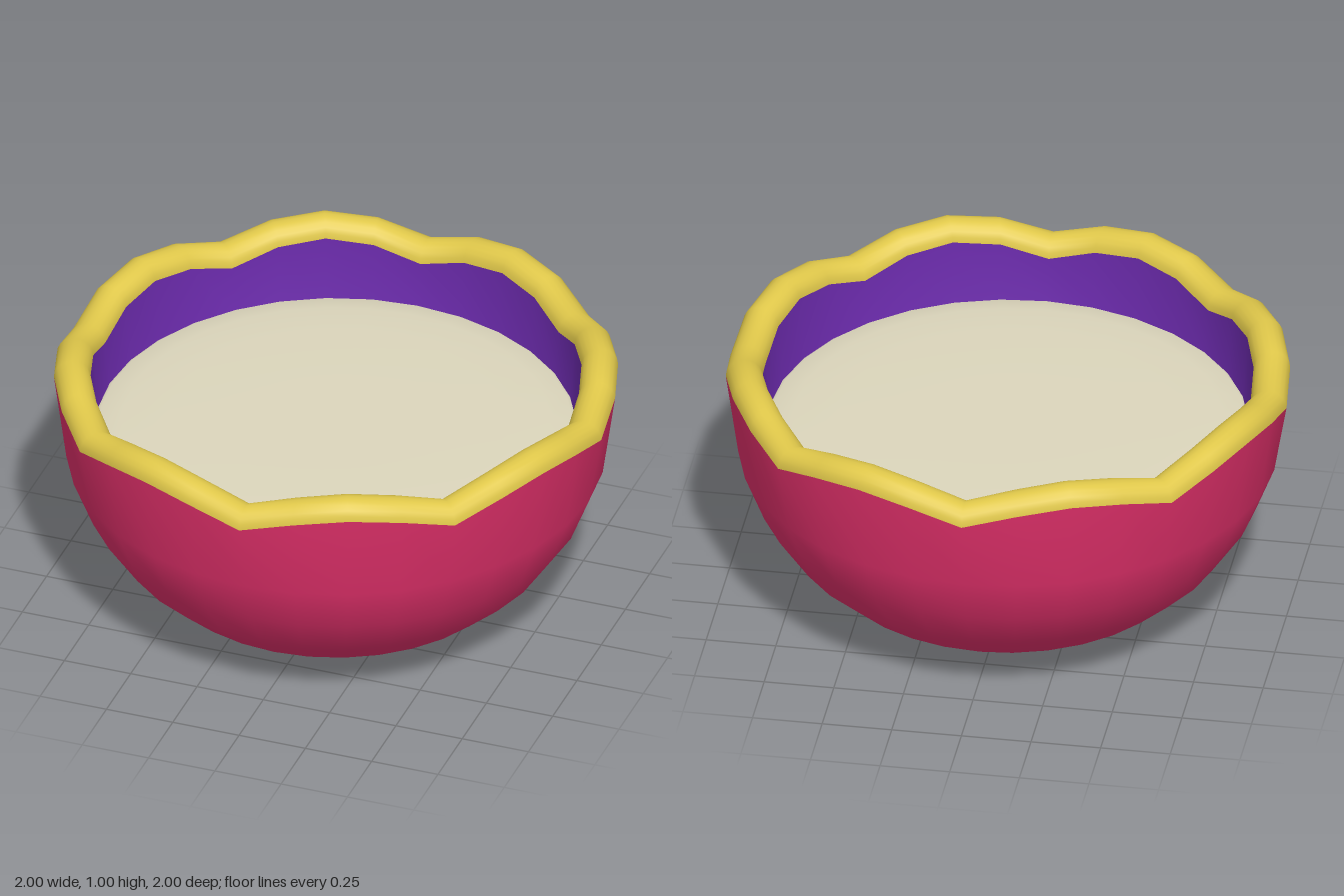
import * as THREE from 'three';
import { mergeVertices } from 'three/addons/utils/BufferGeometryUtils.js';

const SIDES = 32;
const SCALLOPS = 8;
const WAVE = 0.074;   // height of each scallop
const EDGE = 0.86;    // wall height at the scallop valleys
const LIP = 0.065;    // radius of the rounded lip

function material(name, color) {
  const m = new THREE.MeshStandardMaterial({ color });
  m.name = name;
  return m;
}

// Lathe a profile, then lift its upper part into scallops
function turned(name, profile, mat, liftFrom) {
  const geo = new THREE.LatheGeometry(profile.map(([r, y]) => new THREE.Vector2(r, y)), SIDES);
  const pos = geo.attributes.position;
  for (let i = 0; i < pos.count; i++) {
    const x = pos.getX(i), y = pos.getY(i), z = pos.getZ(i);
    const weight = THREE.MathUtils.clamp((y - liftFrom) / (EDGE - liftFrom), 0, 1);
    const wave = Math.abs(Math.sin(Math.atan2(x, z) * SCALLOPS / 2));
    pos.setY(i, y + WAVE * wave * weight);
  }
  // Weld the seam so the shading stays smooth all round
  geo.deleteAttribute('uv');
  geo.deleteAttribute('normal');
  const welded = mergeVertices(geo, 1e-4);
  welded.computeVertexNormals();
  const mesh = new THREE.Mesh(welded, mat);
  mesh.name = name;
  return mesh;
}

export function createModel() {
  const group = new THREE.Group();
  group.name = 'scallopedBowl';

  const pink = material('pink', 0xe0306a);
  const gold = material('gold', 0xe0c84a);
  const purple = material('purple', 0x6a2aaa);
  const cream = material('cream', 0xdcd6bc);

  // Outer shell, from the base up to the lip
  group.add(turned('outerShell', [
    [0, 0], [0.2, 0.005], [0.4, 0.03], [0.555, 0.083], [0.64, 0.135],
    [0.775, 0.257], [0.885, 0.42], [0.956, 0.6], [1, EDGE],
  ], pink, 0.6));

  // Rounded lip, from the outside over the top to the inside
  const lip = [];
  for (let i = 0; i <= 10; i++) {
    const a = Math.PI * i / 10;
    lip.push([1 - LIP + LIP * Math.cos(a), EDGE + LIP * Math.sin(a)]);
  }
  group.add(turned('lip', lip, gold, 0.6));

  // Inner wall, from the lip down to the inside bottom
  group.add(turned('innerWall', [
    [1 - 2 * LIP, EDGE], [0.853, 0.69], [0.79, 0.5], [0.6, 0.25], [0.3, 0.1], [0, 0.07],
  ], purple, 0.69));

  // Filling with a gently falling edge
  group.add(turned('filling', [
    [0.858, 0.69], [0.84, 0.703], [0.76, 0.715], [0.6, 0.722], [0.3, 0.725], [0, 0.725],
  ], cream, 0.8));

  return group;
}
